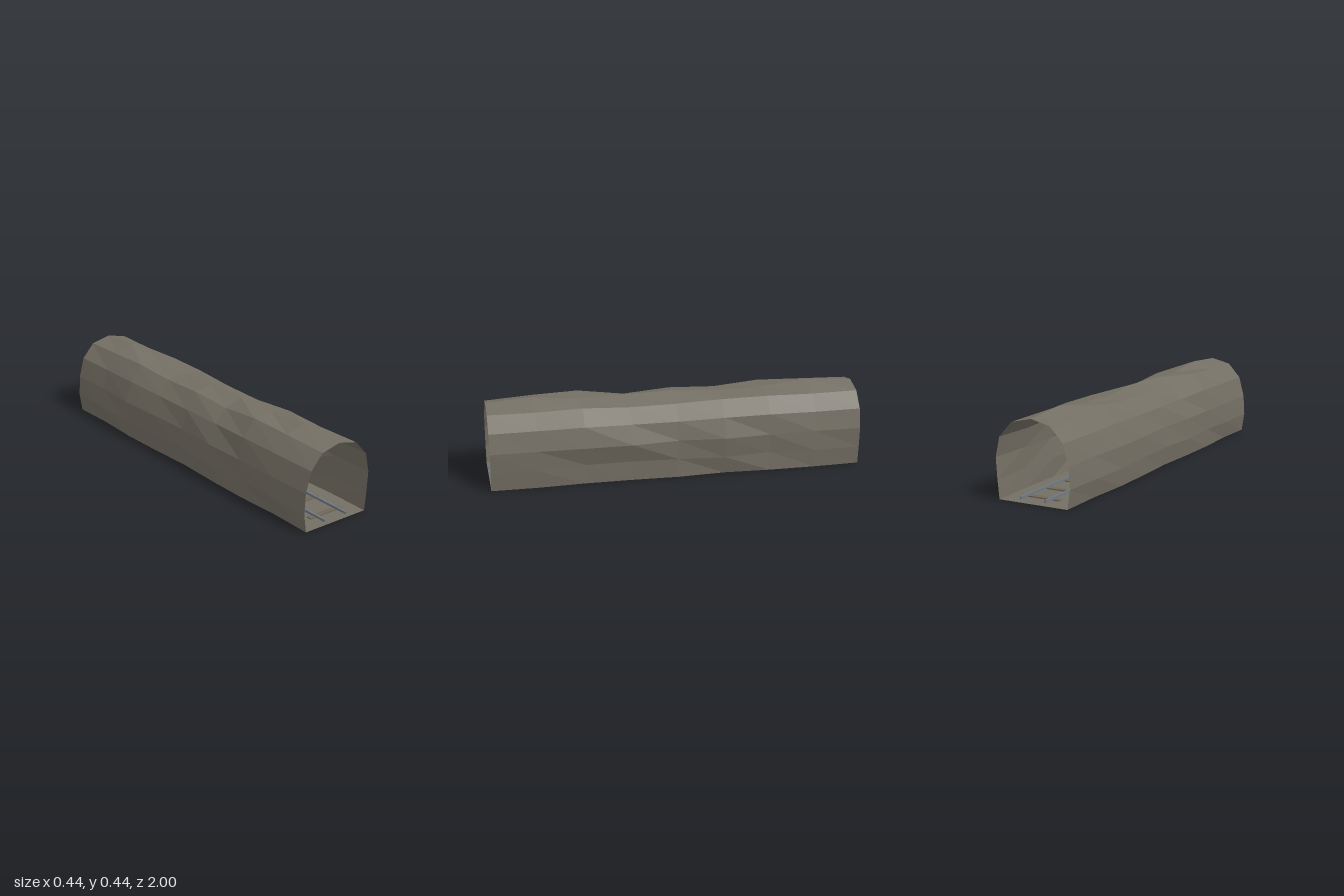
import * as THREE from 'three';

const rock = new THREE.MeshStandardMaterial({ color: 0x746f64, flatShading: true, side: THREE.DoubleSide });
rock.name = 'rock';
const timber = new THREE.MeshStandardMaterial({ color: 0x6f6758 });
timber.name = 'timber';
const steel = new THREE.MeshStandardMaterial({ color: 0x707a82 });
steel.name = 'steel';

// Arch section, from the foot at -x over the crown to the foot at +x
const ARCH = [
  [-0.2, 0], [-0.215, 0.1], [-0.208, 0.21], [-0.178, 0.32], [-0.108, 0.397], [0, 0.422],
  [0.113, 0.395], [0.184, 0.315], [0.207, 0.21], [0.2, 0.1], [0.19, 0],
];

// Outward bulge of each arch point in thousandths, one row per ring from z = 1 to z = -1
const BULGE = [
  [0, 0, 0, 0, 0, 0, 0, 0, 0, 0, 0],
  [-5, 3, 5, 6, 14, 18, -4, 4, 3, 4, 3],
  [5, -4, 2, 8, 22, -8, 4, 8, 8, -15, -6],
  [3, 4, 7, -8, -12, -2, -13, -4, 11, -14, -4],
  [-6, -5, -7, -5, 6, 4, -10, -9, -12, -6, 4],
  [4, -3, 3, -6, -4, -14, 2, 6, 14, 5, -8],
  [8, 7, 12, 7, 16, -8, 5, 10, -3, -9, 4],
  [-3, 4, -3, -4, 8, 18, -3, -5, -6, 4, 6],
  [0, 0, 0, 0, 0, 0, 0, 0, 0, 0, 0],
];

const rings = BULGE.map((row, i) => ARCH.map(([x, y], j) => {
  const dx = x, dy = y - 0.2, len = Math.hypot(dx, dy), b = row[j] / 1000;
  if (y === 0) return [x + Math.sign(x) * b, 0, 1 - i * 0.25]; // feet stay on the ground
  return [x + dx / len * b, y + dy / len * b, 1 - i * 0.25];
}));

// Faceted skin between successive sections
function loft(name, sections) {
  const n = sections[0].length, index = [];
  for (let i = 0; i < sections.length - 1; i++) {
    for (let j = 0; j < n - 1; j++) {
      const a = i * n + j, b = a + 1, c = a + n, d = c + 1;
      index.push(a, b, d, a, d, c);
    }
  }
  const geo = new THREE.BufferGeometry();
  geo.setAttribute('position', new THREE.Float32BufferAttribute(sections.flat(2), 3));
  geo.setIndex(index);
  const flat = geo.toNonIndexed();
  flat.computeVertexNormals();
  const mesh = new THREE.Mesh(flat, rock);
  mesh.name = name;
  return mesh;
}

function box(name, material, size, position) {
  const mesh = new THREE.Mesh(new THREE.BoxGeometry(...size), material);
  mesh.name = name;
  mesh.position.set(...position);
  return mesh;
}

export function createModel() {
  const model = new THREE.Group();
  model.name = 'railTunnel';

  // Rock vault and ground
  model.add(loft('tunnelVault', rings));
  model.add(loft('tunnelFloor', rings.map((r) => [r[r.length - 1], r[0]])));

  // Track
  const track = new THREE.Group();
  track.name = 'track';
  track.position.x = -0.005;
  for (const side of [-1, 1]) {
    track.add(box(side < 0 ? 'rightRail' : 'leftRail', steel, [0.01, 0.013, 2], [side * 0.07, 0.0245, 0]));
  }
  for (let k = 0; k < 12; k++) {
    track.add(box('sleeper', timber, [0.205, 0.006, 0.03], [0, 0.0155, (5.5 - k) / 6]));
  }
  model.add(track);
  return model;
}
